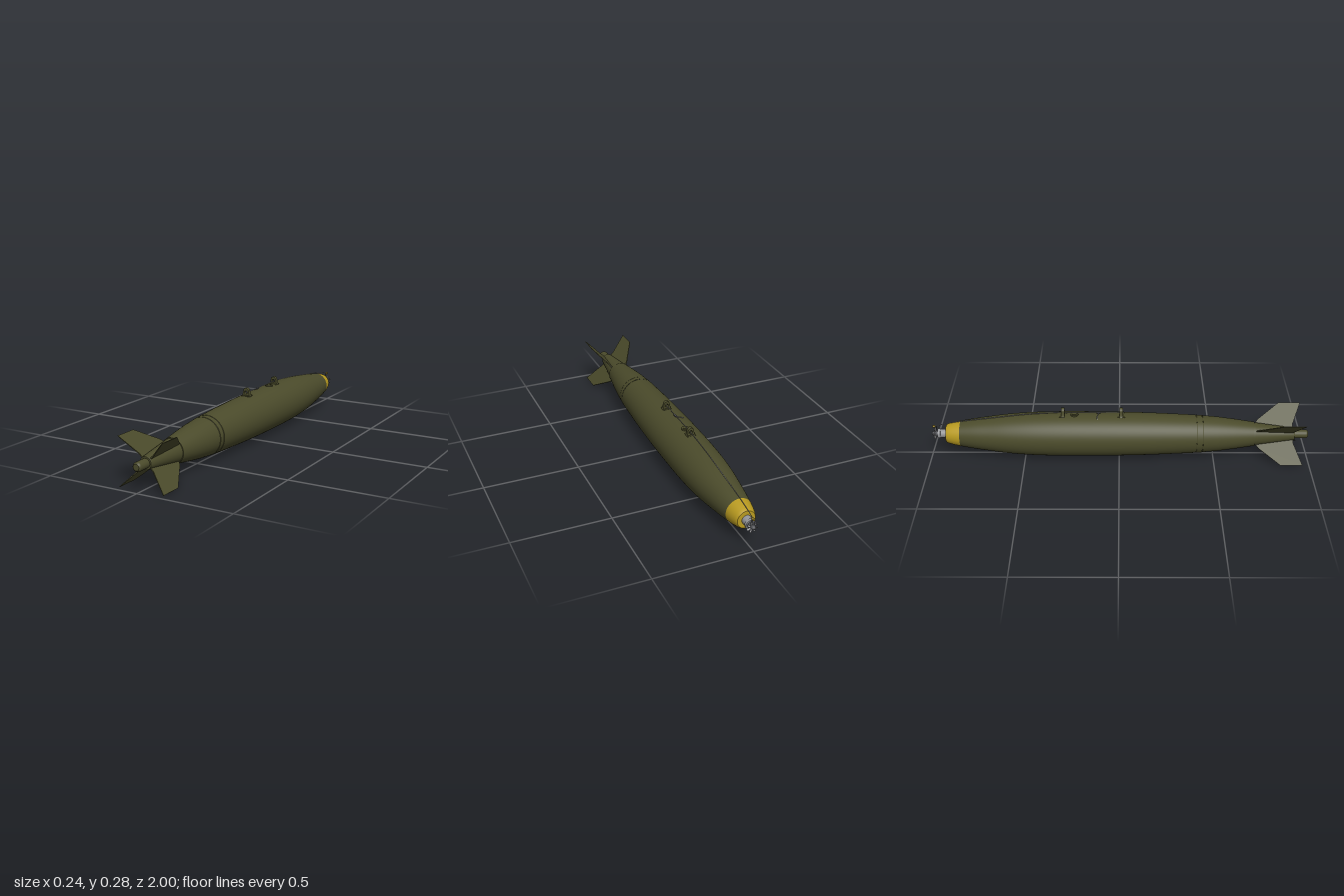
import * as THREE from 'three';

const AXIS_Y = 0.122;

export function createModel() {
  const model = new THREE.Group();
  const mat = (name, color, side = THREE.FrontSide) => {
    const m = new THREE.MeshStandardMaterial({ color, side });
    m.name = name;
    return m;
  };
  const olive = mat('olive drab', 0x4b4b2b);
  const yellow = mat('yellow band', 0xb89a20);
  const grey = mat('bare metal', 0x96979a);
  const dark = mat('dark metal', 0x55565a);
  const brass = mat('brass', 0x9c8426);

  const add = (name, geo, material, parent = model) => {
    const mesh = new THREE.Mesh(geo, material);
    mesh.name = name;
    parent.add(mesh);
    return mesh;
  };

  // Everything in this group is centred on the long axis
  const core = new THREE.Group();
  core.name = 'casing';
  core.position.y = AXIS_Y;
  model.add(core);

  // Turned part: list of [z, radius] with z increasing
  const turned = (name, profile, material, segments = 64) => add(name,
    new THREE.LatheGeometry(profile.map(([z, r]) => new THREE.Vector2(r, z)), segments)
      .rotateX(Math.PI / 2), material, core);

  // Main body, sampled from a smooth curve
  const bodyCurve = new THREE.SplineCurve([
    [-0.84, 0.068], [-0.77, 0.080], [-0.7, 0.090], [-0.6, 0.103], [-0.5, 0.1115], [-0.4, 0.116],
    [-0.28, 0.118], [-0.1, 0.1175], [0.05, 0.115], [0.2, 0.1105], [0.405, 0.101],
  ].map(([z, r]) => new THREE.Vector2(z, r)));
  turned('body', bodyCurve.getPoints(50).map(p => [p.x, p.y]), olive);

  // Joint collar with a narrow groove on either side
  turned('frontGroove', [[0.405, 0.101], [0.4051, 0.098], [0.408, 0.098], [0.4081, 0.1]], olive);
  turned('jointCollar', [[0.408, 0.1005], [0.437, 0.099]], olive);
  turned('rearGroove', [[0.437, 0.099], [0.4371, 0.0955], [0.44, 0.0955], [0.4401, 0.098]], olive);

  // Tail cone, rim and end stub
  turned('tailShell', [[0.44, 0.098], [0.52, 0.091], [0.61, 0.0795], [0.71, 0.0645]], olive);
  turned('tailShellEdge', [[0.71, 0.0645], [0.715, 0.0645]], olive);
  turned('tailShellStep', [[0.715, 0.0645], [0.7151, 0.058]], olive);
  turned('tailCone', [[0.715, 0.061], [0.922, 0.033]], olive);
  turned('tailRim', [[0.922, 0.033], [0.927, 0.031]], olive);
  turned('tailRimFace', [[0.927, 0.031], [0.9271, 0.02]], olive);
  turned('tailStub', [[0.927, 0.0235], [0.988, 0.0235], [0.995, 0.021], [1, 0.016]], olive, 32);
  turned('tailCap', [[1, 0.016], [1.0001, 0]], olive, 32);

  // Painted nose ring
  turned('noseBand', [[-0.916, 0.046], [-0.912, 0.0495], [-0.9, 0.054], [-0.87, 0.062], [-0.84, 0.068]], yellow);
  turned('noseFace', [[-0.9161, 0], [-0.916, 0.046]], yellow);

  // Fuze
  const cyl = (name, z0, z1, r0, r1, material) => {
    const geo = new THREE.CylinderGeometry(r1, r0, z1 - z0, 32).rotateX(Math.PI / 2);
    return add(name, geo.translate(0, 0, (z0 + z1) / 2), material, core);
  };
  cyl('fuzeBase', -0.947, -0.914, 0.022, 0.024, grey);
  cyl('fuzeCollar', -0.962, -0.947, 0.026, 0.026, grey);
  cyl('fuzeNeck', -0.976, -0.962, 0.015, 0.019, dark);
  turned('fuzeTip', [[-0.996, 0], [-0.994, 0.007], [-0.987, 0.011], [-0.976, 0.012]], dark, 24);

  // Arming vane
  for (let i = 0; i < 8; i++) {
    const blade = new THREE.BoxGeometry(0.019, 0.009, 0.002).rotateX(0.7).translate(0.021, 0, -0.977);
    add('vaneBlade', blade, grey, core).rotation.z = (i + 0.5) * Math.PI / 4;
  }

  // Four swept fins on the diagonals
  const finShape = new THREE.Shape([
    [0.03, 0.72], [0.058, 0.72], [0.08, 0.737], [0.171, 0.85], [0.171, 0.966], [0.052, 0.921], [0.025, 0.921],
  ].map(([r, z]) => new THREE.Vector2(r, z)));
  const finGeo = new THREE.ExtrudeGeometry(finShape, { depth: 0.006, bevelEnabled: false })
    .translate(0, 0, -0.003).rotateX(Math.PI / 2);
  // Thin the fins toward the tip
  const pos = finGeo.attributes.position;
  for (let i = 0; i < pos.count; i++) {
    pos.setY(i, pos.getY(i) * (1.15 - 4 * pos.getX(i)));
  }
  finGeo.computeVertexNormals();
  for (let i = 0; i < 4; i++) {
    add('fin', finGeo, olive, core).rotation.z = Math.PI / 4 + i * Math.PI / 2;
  }

  // Suspension lugs with an eye
  const lugShape = new THREE.Shape();
  lugShape.moveTo(-0.024, 0.225);
  lugShape.lineTo(0.024, 0.225);
  lugShape.lineTo(0.024, 0.236);
  lugShape.quadraticCurveTo(0.019, 0.241, 0.0155, 0.264);
  lugShape.absarc(0, 0.2635, 0.0155, 0, Math.PI, false);
  lugShape.quadraticCurveTo(-0.019, 0.241, -0.024, 0.236);
  const eye = new THREE.Path();
  eye.absarc(0, 0.256, 0.009, 0, Math.PI * 2, true);
  lugShape.holes.push(eye);
  const lugGeo = new THREE.ExtrudeGeometry(lugShape, {
    depth: 0.014, bevelThickness: 0.002, bevelSize: 0.001, bevelSegments: 1, curveSegments: 16,
  }).translate(0, 0, -0.007);
  for (const z of [0.01, -0.295]) {
    const lug = new THREE.Group();
    lug.name = 'suspensionLug';
    lug.position.z = z;
    model.add(lug);
    add('lugEye', lugGeo, olive, lug);
    add('lugFoot', new THREE.BoxGeometry(0.046, 0.02, 0.038).translate(0, 0.23, 0), olive, lug);
  }

  // Round charging port between the lugs
  add('chargingPort', new THREE.CylinderGeometry(0.02, 0.022, 0.02, 28).translate(0, 0.235, -0.235), olive);
  add('portCap', new THREE.CylinderGeometry(0.013, 0.013, 0.004, 28).translate(0, 0.246, -0.235), olive);

  // Arming wire, side branch and end clip
  const tube = (name, points, r, material) => add(name, new THREE.TubeGeometry(
    new THREE.CatmullRomCurve3(points.map(p => new THREE.Vector3(...p))), 60, r, 8), material);
  tube('armingWire', [
    [0, 0.254, 0.025], [0, 0.254, -0.1], [0, 0.254, -0.3], [0, 0.248, -0.4], [0, 0.24, -0.5],
    [0, 0.228, -0.6], [0, 0.215, -0.7], [0, 0.2, -0.82], [0, 0.184, -0.91], [0, 0.164, -0.985],
  ], 0.0018, grey);
  tube('wireBranch', [[0, 0.25, -0.105], [-0.018, 0.243, -0.115], [-0.043, 0.234, -0.115]], 0.0018, grey);
  add('wireSwivel', new THREE.BoxGeometry(0.008, 0.006, 0.022).translate(0, 0.252, -0.108), dark);
  add('wireClip', new THREE.CylinderGeometry(0.006, 0.006, 0.014, 12)
    .rotateX(Math.PI / 2).translate(0, 0.165, -0.98), brass);
  add('clipPost', new THREE.BoxGeometry(0.005, 0.03, 0.005).translate(0, 0.15, -0.968), dark);

  return model;
}
